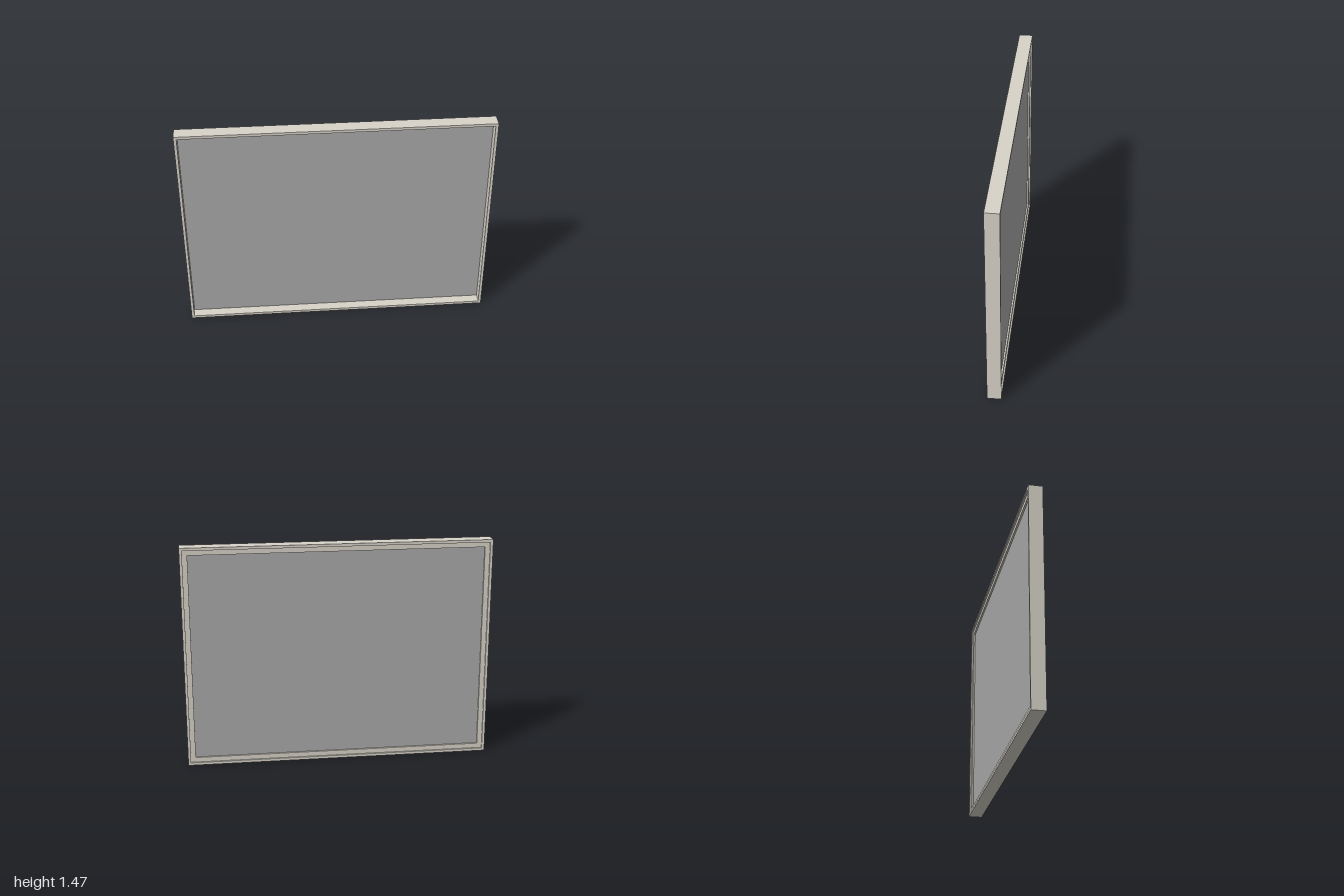
import * as THREE from 'three';

const W = 2, H = 1.465, DEPTH = 0.09;
const BACK = -DEPTH / 2;

// Rectangular ring centred on the panel, inset from the outer edge, extruded from z0 to z1
function ring(name, outerInset, innerInset, z0, z1, material) {
  const rect = (target, inset) => {
    const x = W / 2 - inset, y = H / 2 - inset;
    target.moveTo(-x, -y).lineTo(x, -y).lineTo(x, y).lineTo(-x, y).closePath();
    return target;
  };
  const shape = rect(new THREE.Shape(), outerInset);
  shape.holes.push(rect(new THREE.Path(), innerInset));
  const geometry = new THREE.ExtrudeGeometry(shape, { depth: z1 - z0, bevelEnabled: false });
  const mesh = new THREE.Mesh(geometry, material);
  mesh.name = name;
  mesh.position.set(0, H / 2, z0);
  return mesh;
}

export function createModel() {
  const model = new THREE.Group();
  model.name = 'framedPanel';
  const frameMaterial = new THREE.MeshStandardMaterial({ color: 0xd8d3c9 });
  const panelMaterial = new THREE.MeshStandardMaterial({ color: 0xaaaaaa });

  // Deep, narrow outer frame
  model.add(ring('outerFrame', 0, 0.018, BACK, -BACK, frameMaterial));

  // Retaining strip set into the back, holding the panel
  model.add(ring('backRetainer', 0.018, 0.05, BACK + 0.01, BACK + 0.021, frameMaterial));

  // Flat panel recessed deep behind the front edge
  const panel = new THREE.Mesh(new THREE.BoxGeometry(W - 0.036, H - 0.036, 0.005), panelMaterial);
  panel.name = 'panel';
  panel.position.set(0, H / 2, BACK + 0.0235);
  model.add(panel);

  return model;
}
